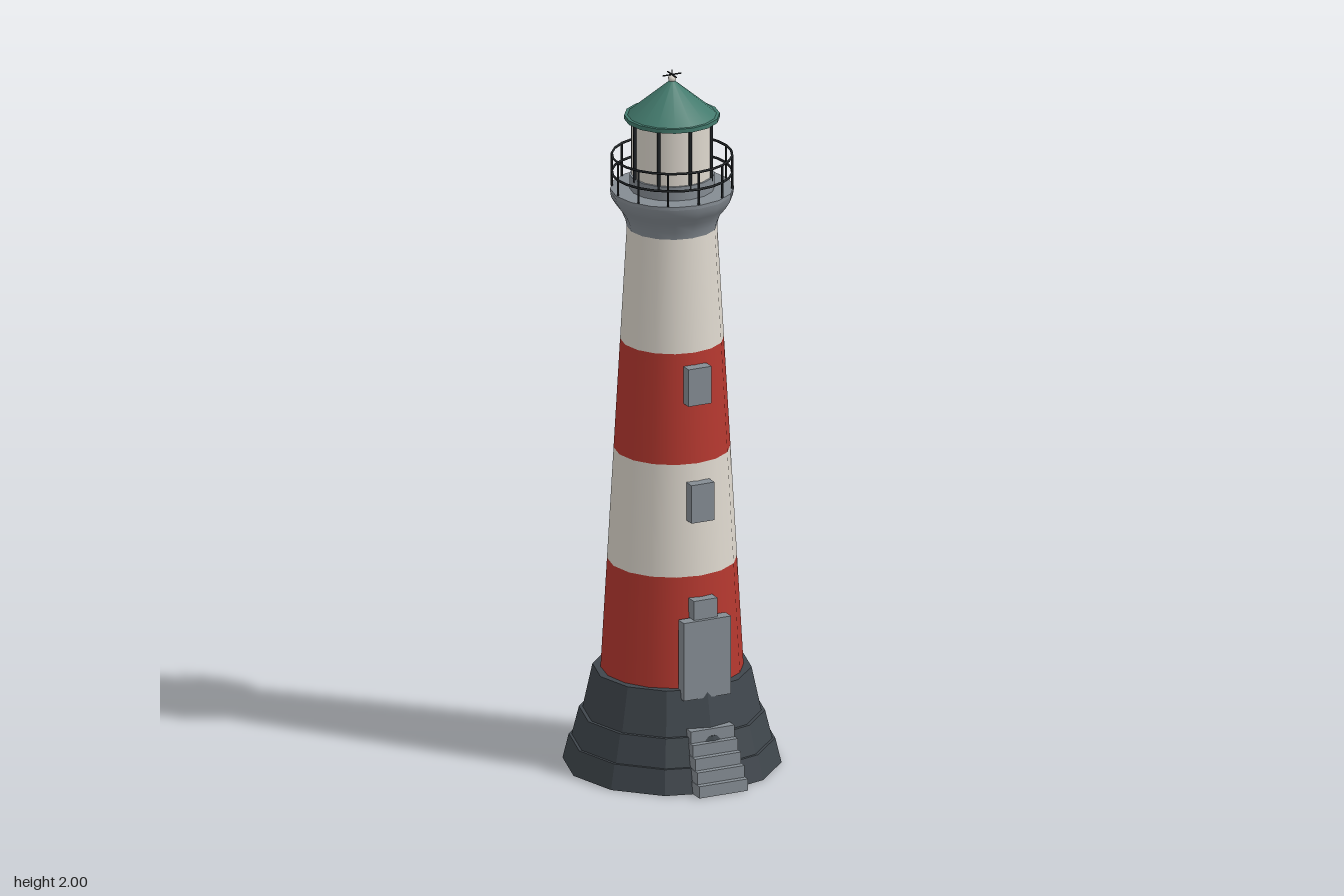
import * as THREE from 'three';

const mat = (name, color, flat = false) => {
  const m = new THREE.MeshStandardMaterial({ color, flatShading: flat });
  m.name = name;
  return m;
};

export function createModel() {
  const stone = mat('dark stone', 0x3f464c, true);
  const red = mat('red paint', 0xb5382f);
  const cream = mat('cream paint', 0xded8ce);
  const grey = mat('grey trim', 0x858c93);
  const green = mat('green roof', 0x437a6d);
  const iron = mat('black iron', 0x1d2124);

  const model = new THREE.Group();
  const tower = new THREE.Group();
  tower.name = 'lighthouse';
  tower.position.z = -0.01; // the steps reach further forward than the base reaches back
  model.add(tower);

  const add = (name, geo, material, x = 0, y = 0, z = 0) => {
    const mesh = new THREE.Mesh(geo, material);
    mesh.name = name;
    mesh.position.set(x, y, z);
    tower.add(mesh);
    return mesh;
  };
  // Tapered drum between two heights
  const drum = (name, material, y0, y1, r0, r1, sides = 16, open = false) =>
    add(name, new THREE.CylinderGeometry(r1, r0, y1 - y0, sides, 1, open), material, 0, (y0 + y1) / 2);
  // Box given by half width, height range and depth range
  const block = (name, material, hw, y0, y1, z0, z1) =>
    add(name, new THREE.BoxGeometry(hw * 2, y1 - y0, z1 - z0), material, 0, (y0 + y1) / 2, (z0 + z1) / 2);
  // Ring of upright bars
  const bars = (name, count, radius, thick, y0, y1) => {
    const geo = new THREE.CylinderGeometry(thick, thick, y1 - y0, 6);
    for (let i = 0; i < count; i++) {
      const a = (i / count) * Math.PI * 2;
      add(name, geo, iron, Math.sin(a) * radius, (y0 + y1) / 2, Math.cos(a) * radius);
    }
  };

  // Stepped rock base
  drum('baseLower', stone, 0, 0.07, 0.3, 0.283, 12);
  drum('baseMiddle', stone, 0.07, 0.15, 0.275, 0.255, 12);
  drum('baseUpper', stone, 0.15, 0.275, 0.245, 0.218, 12);

  // Striped tapering shaft
  const heights = [0.275, 0.59, 0.91, 1.225, 1.55];
  const shaftRadius = (y) => 0.196 - (y - 0.275) * 0.0565;
  for (let i = 0; i < 4; i++) {
    const [y0, y1] = [heights[i], heights[i + 1]];
    drum('shaftBand', i % 2 ? cream : red, y0, y1, shaftRadius(y0), shaftRadius(y1));
  }

  // Flared gallery with a flat deck
  const flare = [[0.124, 1.55], [0.128, 1.57], [0.139, 1.595], [0.155, 1.615], [0.167, 1.635], [0.17, 1.655]]
    .map(([r, y]) => new THREE.Vector2(r, y));
  add('galleryFlare', new THREE.LatheGeometry(flare, 16), grey);
  drum('galleryDeck', grey, 1.65, 1.66, 0.17, 0.17);

  // Gallery railing
  bars('railPost', 12, 0.165, 0.003, 1.66, 1.755);
  for (const y of [1.705, 1.755]) {
    add('rail', new THREE.TorusGeometry(0.165, 0.0035, 6, 24), iron, 0, y).rotation.x = Math.PI / 2;
  }

  // Lantern room
  drum('lanternSill', grey, 1.66, 1.7, 0.117, 0.117);
  drum('lanternGlass', cream, 1.7, 1.862, 0.111, 0.111);
  bars('lanternPost', 8, 0.113, 0.005, 1.69, 1.862);

  // Roof and finial
  drum('roofEave', green, 1.86, 1.872, 0.131, 0.131);
  drum('roof', green, 1.872, 1.968, 0.122, 0.008);
  add('finialBall', new THREE.SphereGeometry(0.011, 10, 8), cream, 0, 1.975);
  add('vaneRod', new THREE.CylinderGeometry(0.002, 0.002, 0.035, 6), iron, 0, 1.9825);
  add('vaneBarAcross', new THREE.BoxGeometry(0.056, 0.003, 0.003), iron, 0, 1.986);
  add('vaneBarAlong', new THREE.BoxGeometry(0.003, 0.003, 0.056), iron, 0, 1.986);

  // Door and windows
  block('door', grey, 0.072, 0.25, 0.475, 0.185, 0.22);
  block('doorHood', grey, 0.036, 0.475, 0.53, 0.17, 0.209);
  block('lowerWindow', grey, 0.035, 0.75, 0.86, 0.16, 0.192);
  block('upperWindow', grey, 0.035, 1.083, 1.19, 0.142, 0.174);

  // Entrance steps, narrowing and set back as they climb
  for (let i = 0; i < 5; i++) {
    const front = 0.32 - i * 0.017;
    block('step', grey, 0.074 - i * 0.002, i * 0.034, (i + 1) * 0.034, front - 0.075, front);
  }
  return model;
}
